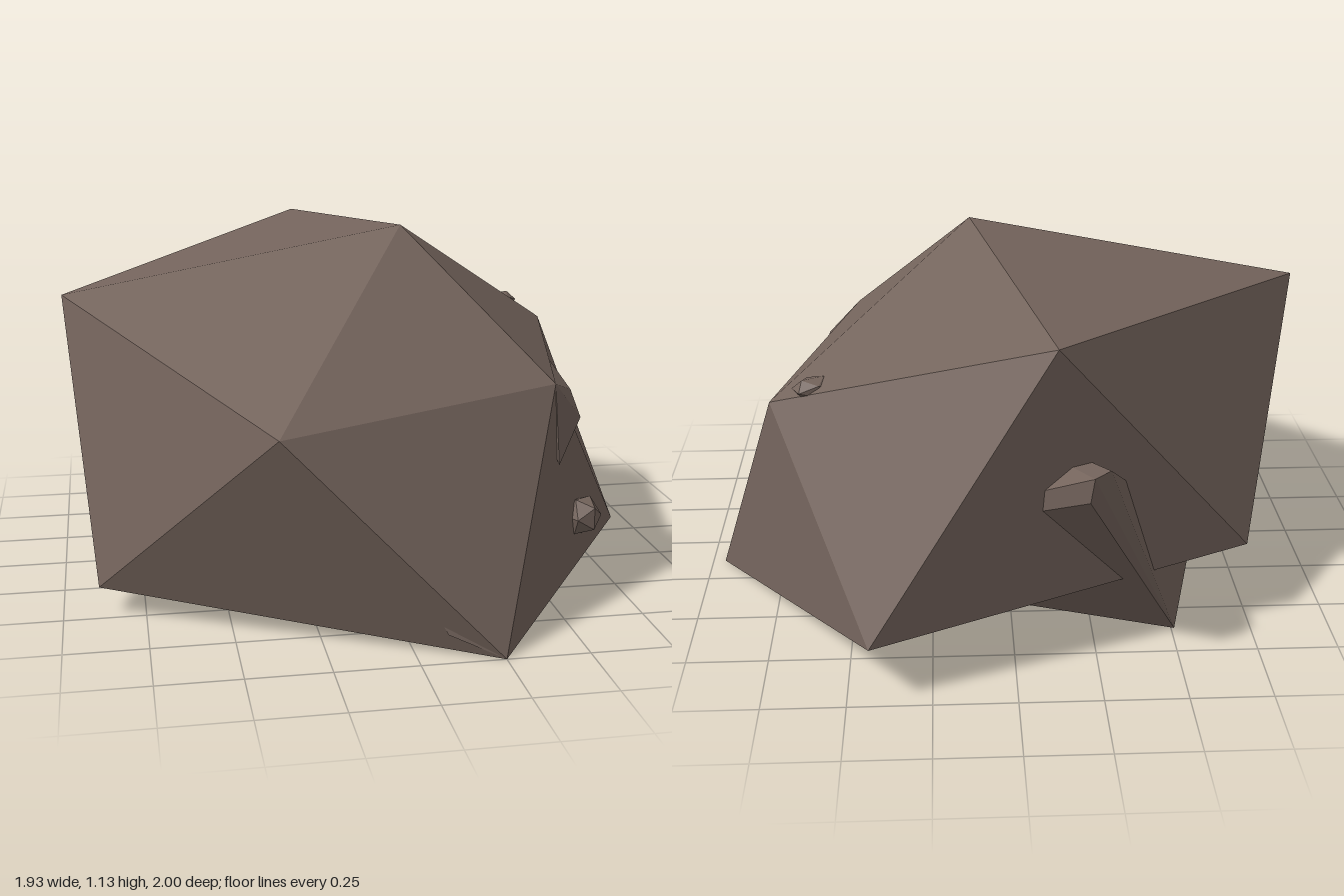
import * as THREE from 'three';
import { ConvexGeometry } from 'three/addons/geometries/ConvexGeometry.js';

const vec = (p) => new THREE.Vector3(...p);

// Irregular twenty-sided boulder: top point, two rings of five, bottom point
function boulderGeometry(top, upper, lower, bottom) {
  const pos = [];
  const face = (...corners) => corners.forEach((c) => pos.push(...c));
  for (let i = 0; i < 5; i++) {
    const j = (i + 1) % 5;
    face(top, upper[i], upper[j]);
    face(upper[i], lower[i], upper[j]);
    face(upper[j], lower[i], lower[j]);
    face(bottom, lower[j], lower[i]);
  }
  const g = new THREE.BufferGeometry();
  g.setAttribute('position', new THREE.Float32BufferAttribute(pos, 3));
  g.computeVertexNormals();
  return g;
}

export function createModel() {
  const group = new THREE.Group();
  group.name = 'rock';
  const stone = new THREE.MeshStandardMaterial({ color: 0x74645c, flatShading: true });
  stone.name = 'brown stone';
  const add = (name, geometry) => {
    const mesh = new THREE.Mesh(geometry, stone);
    mesh.name = name;
    group.add(mesh);
    return mesh;
  };

  // Main boulder
  add('boulder', boulderGeometry(
    [0.11, 1.13, 0.13],
    [[-0.97, 0.93, 0.1], [-0.385, 0.655, 0.92], [0.51, 0.69, 0.56], [0.74, 0.705, -0.4], [-0.11, 1.06, -0.9]],
    [[-0.89, 0.085, 0.46], [0.25, 0, 1], [0.96, 0, -0.13], [0.43, 0.19, -1], [-0.73, 0.28, -0.59]],
    [-0.1, 0.01, -0.1],
  ));

  // Inner chunk: its corners break through the boulder at the back and base
  add('innerChunk', new ConvexGeometry([
    [-0.21, 0.7, -0.96], [-0.26, 0.7, -0.91], [-0.2, 0.62, -0.95], [-0.51, 0, -0.62],
    [-0.68, 0, 0.05], [0.82, 0.11, 0.1], [0.24, 0, 0.97], [0.93, 0, -0.12],
    [-0.3, 0.1, 0.4], [0.3, 0.5, 0.2],
  ].map(vec)));

  // Ridge running back from the front shoulder
  add('shoulderRidge', new ConvexGeometry([
    [0.51, 0.69, 0.56], [0.59, 0.74, -0.03], [0.61, 0.63, 0.4], [0.5, 0.6, 0.3], [0.63, 0.55, 0.45], [0.53, 0.43, 0.56],
  ].map(vec)));

  // Thin slabs on the front face
  add('upperSlab', new ConvexGeometry([
    [0.02, 0.66, 0.72], [0.3, 0.845, 0.37], [0.51, 0.69, 0.56], [0.08, 0.6, 0.74], [0.2, 0.5, 0.4],
  ].map(vec)));
  add('lowerSlab', new ConvexGeometry([
    [-0.06, 0.36, 0.9], [0.09, 0.065, 0.95], [0.25, 0, 1], [0.51, 0.69, 0.56], [0.08, 0.6, 0.76], [0.2, 0.3, 0.5],
  ].map(vec)));

  // Small pebbles stuck to the side
  const pebbles = [
    [0.69, 0.18, 0.33, 0.065, 0.07, 0.065],
    [0.6, 0.765, -0.43, 0.07, 0.035, 0.05],
  ];
  for (const [x, y, z, sx, sy, sz] of pebbles) {
    const pebble = add('pebble', new THREE.IcosahedronGeometry(1, 0));
    pebble.position.set(x, y, z);
    pebble.scale.set(sx, sy, sz);
    pebble.rotation.y = 0.5;
  }
  return group;
}
